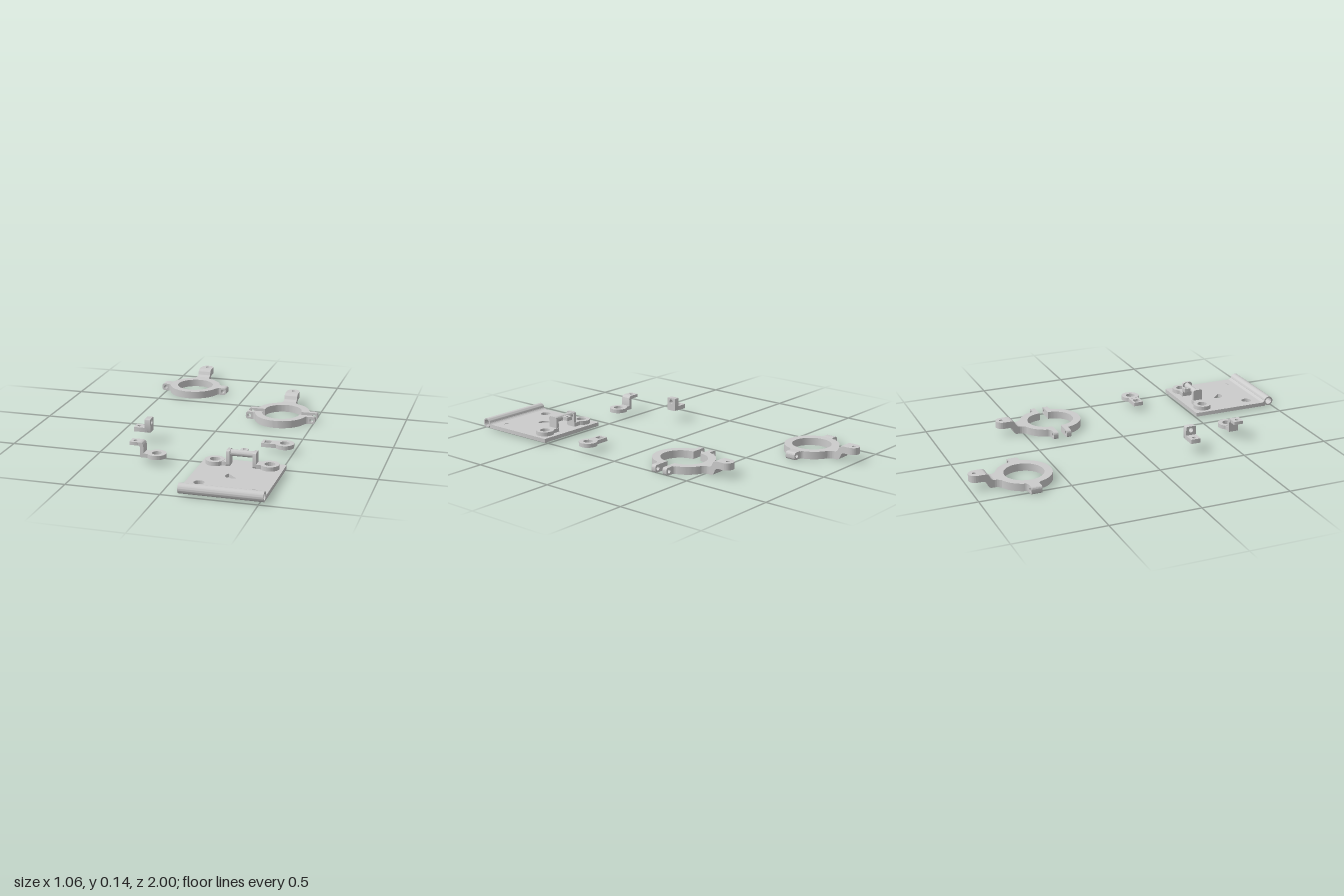
import * as THREE from 'three';
import { toCreasedNormals } from 'three/addons/utils/BufferGeometryUtils.js';

const material = new THREE.MeshStandardMaterial({ color: 0xcccccc });
const PI = Math.PI;

function extrude(shape, depth) {
  return new THREE.ExtrudeGeometry(shape, { depth, bevelEnabled: false, curveSegments: 24 });
}
function mesh(name, geometry) {
  const m = new THREE.Mesh(toCreasedNormals(geometry, 0.5), material);
  m.name = name;
  return m;
}
// plan outline (x, -z) raised from y0 to y1
const slab = (name, shape, y0, y1) =>
  mesh(name, extrude(shape, y1 - y0).rotateX(-PI / 2).translate(0, y0, 0));
// side outline (-z, y) swept from x0 to x1
const sweepX = (name, shape, x0, x1) =>
  mesh(name, extrude(shape, x1 - x0).rotateY(PI / 2).translate(x0, 0, 0));
// front outline (x, y) swept from z0 to z1
const sweepZ = (name, shape, z0, z1) =>
  mesh(name, extrude(shape, z1 - z0).translate(0, 0, z0));

const arc = (x, y, r, a0 = 0, a1 = 2 * PI) => new THREE.Path().absarc(x, y, r, a0, a1, false);
function rect(x0, y0, x1, y1, r = 0.001) {
  const s = new THREE.Shape();
  s.absarc(x1 - r, y0 + r, r, -PI / 2, 0, false);
  s.absarc(x1 - r, y1 - r, r, 0, PI / 2, false);
  s.absarc(x0 + r, y1 - r, r, PI / 2, PI, false);
  s.absarc(x0 + r, y0 + r, r, PI, PI * 1.5, false);
  s.closePath();
  return s;
}
function withHoles(shape, ...holes) {
  shape.holes.push(...holes);
  return shape;
}
function disc(x, y, r, hole) {
  return withHoles(new THREE.Shape().absarc(x, y, r, 0, 2 * PI, false), arc(x, y, hole));
}

const H = 0.042, R = 0.15, BORE = 0.107;

// ring or half ring around the origin
function band(a0, a1) {
  if (a1 - a0 > 6) return slab('ring', disc(0, 0, R, BORE), 0, H);
  const s = new THREE.Shape();
  s.absarc(0, 0, R, a0, a1, false);
  s.absarc(0, 0, BORE, a1, a0, true);
  s.closePath();
  return slab('halfRing', s, 0, H);
}

// pair of drilled ears, with fillets on the chosen sides (+1 back, -1 front)
function ears(group, d0, d1, sides) {
  for (const k of [1, -1]) {
    const ear = rect(0.13, 0, 0.203, H, 0.014);
    const s = withHoles(ear, arc(0.182, 0.021, 0.011));
    const e = sweepZ('ear', s, -d1, -d0);
    if (k < 0) { // turn about the vertical axis for the opposite ear
      e.rotation.y = PI;
      e.position.z = -(d0 + d1);
    }
    group.add(e);
    for (const side of sides) {
      const d = side > 0 ? d1 : -d0;
      const f = new THREE.Shape();
      f.moveTo(k * 0.13, side * (d - 0.004));
      f.lineTo(k * 0.163, side * (d - 0.004));
      f.lineTo(k * 0.163, side * d);
      f.quadraticCurveTo(k * 0.146, side * d, k * 0.137, side * (d + 0.031));
      f.lineTo(k * 0.125, side * (d + 0.031));
      group.add(slab('earFillet', f, 0.0005, H - 0.0005));
    }
  }
}

// stepped arm running backwards from a ring
function arm(group) {
  const w = 0.038;
  const neck = new THREE.Shape();
  neck.moveTo(-0.088, 0.1195);
  neck.quadraticCurveTo(-w, 0.143, -w, 0.172);
  neck.lineTo(w, 0.172);
  neck.quadraticCurveTo(w, 0.143, 0.088, 0.1195);
  neck.absarc(0, 0, 0.14, 0.94, PI - 0.94, false);
  group.add(slab('armNeck', neck, 0, H));

  const step = new THREE.Shape();
  step.moveTo(0.17, 0);
  step.lineTo(0.185, 0);
  step.bezierCurveTo(0.218, 0, 0.2, H, 0.235, H);
  step.lineTo(0.262, H);
  step.lineTo(0.262, 0.08);
  step.lineTo(0.225, 0.08);
  step.bezierCurveTo(0.185, 0.08, 0.205, H, 0.17, H);
  // the tab outline takes over where the drilled end begins
  const tab = new THREE.Shape();
  tab.moveTo(-w, 0.25);
  tab.lineTo(w, 0.25);
  tab.absarc(0, 0.262, w, 0, PI, false);
  step.curves[2].v2.x = 0.25;
  step.curves[3].v1.x = step.curves[3].v2.x = 0.25;
  step.curves[4].v1.x = 0.25;
  group.add(sweepX('armStep', step, -w, w));
  group.add(slab('armTab', withHoles(tab, arc(0, 0.268, 0.011)), H, 0.08));
}

function ringPart(name, x, z, a0, a1, d0, d1, sides, hasArm) {
  const g = new THREE.Group();
  g.name = name;
  g.add(band(a0, a1));
  ears(g, d0, d1, sides);
  if (hasArm) arm(g);
  g.position.set(x, 0, z);
  return g;
}

// hinge plate with partly closed screw holes, rolled edge and catch
function hingePlate() {
  const g = new THREE.Group();
  g.name = 'hingePlate';
  const xs = [0.161, 0.452], cx = 0.307;
  const layer = (holes) => withHoles(rect(0.09, -0.95, 0.524, -0.5),
    ...xs.map((x) => arc(x, -0.57, 0.028)), ...holes);
  const slot = (x, b) => arc(x, -0.862, 0.028, PI + b, 2 * PI - b);
  g.add(slab('plateBottom', layer([
    slot(xs[0], 0.4), arc(xs[1], -0.862, 0.028), arc(cx - 0.01, -0.73, 0.037, PI, 2 * PI)]), 0.008, 0.011));
  g.add(slab('plateTop', layer([
    arc(xs[0], -0.862, 0.028), slot(xs[1], 0.8),
    arc(cx - 0.01, -0.73, 0.037, PI * 0.75, PI * 1.75)]), 0.011, 0.03));
  g.add(sweepX('rolledEdge', disc(-0.972, 0.035, 0.027, 0.019), 0.09, 0.524));
  const fillet = new THREE.Shape();
  fillet.moveTo(-0.951, 0.025);
  fillet.lineTo(-0.926, 0.025);
  fillet.lineTo(-0.926, 0.03);
  fillet.quadraticCurveTo(-0.942, 0.03, -0.949, 0.045);
  g.add(sweepX('rollFillet', fillet, 0.0905, 0.5235));

  // catch: two feet with posts, carrying a crossbar
  xs.forEach((x, i) => {
    const k = i ? 1 : -1;
    g.add(slab('footEye', disc(x, -0.57, 0.05, 0.028), 0.03, 0.053));
    const a = x - k * 0.04, b = cx + k * 0.062;
    g.add(slab('footTab', rect(Math.min(a, b), -0.598, Math.max(a, b), -0.541), 0.03, 0.052));
    const p = cx + k * 0.07;
    g.add(sweepX('post', rect(-0.602, 0.03, -0.545, 0.115, 0.012), p - 0.009, p + 0.009));
  });
  const bar = new THREE.CylinderGeometry(0.017, 0.017, 0.13, 24).rotateZ(PI / 2);
  g.add(mesh('crossbar', bar.translate(cx, 0.096, 0.57)));
  g.add(slab('barTab', withHoles(rect(0.288, -0.565, 0.326, -0.517, 0.006),
    arc(cx, -0.533, 0.009)), 0.086, 0.107));
  return g;
}

// upright angle bracket
function angleBracket() {
  const g = new THREE.Group();
  g.name = 'angleBracket';
  g.add(slab('bracketBase', withHoles(rect(-0.38, -0.296, -0.3, -0.238, 0.004),
    arc(-0.356, -0.267, 0.011)), 0.062, 0.087));
  g.add(sweepX('bracketPost', withHoles(rect(-0.296, 0.062, -0.238, 0.137, 0.006),
    arc(-0.267, 0.115, 0.013)), -0.316, -0.284));
  return g;
}

// stepped bracket with an eye at the low end
function stepBracket() {
  const g = new THREE.Group();
  g.name = 'stepBracket';
  const s = new THREE.Shape();
  s.moveTo(-0.25, 0.112);
  s.lineTo(-0.25, 0.094);
  s.quadraticCurveTo(-0.239, 0.094, -0.239, 0.08);
  s.lineTo(-0.239, 0.031);
  s.lineTo(-0.195, 0.031);
  s.lineTo(-0.195, 0.053);
  s.lineTo(-0.221, 0.053);
  s.lineTo(-0.221, 0.092);
  s.quadraticCurveTo(-0.223, 0.111, -0.242, 0.112);
  g.add(sweepZ('bracketStep', s, 0.541, 0.598));
  g.add(slab('bracketTab', withHoles(rect(-0.298, -0.598, -0.249, -0.541, 0.004),
    arc(-0.272, -0.57, 0.011)), 0.094, 0.112));
  g.add(slab('bracketEye', disc(-0.156, -0.57, 0.051, 0.026), 0.031, 0.0535));
  return g;
}

// flat link with an eye and a square slot
function flatLink() {
  const g = new THREE.Group();
  g.name = 'flatLink';
  g.add(slab('linkTab', withHoles(rect(0.328, -0.267, 0.412, -0.208, 0.004),
    rect(0.342, -0.256, 0.379, -0.219, 0.006)), 0.031, 0.053));
  g.add(slab('linkEye', disc(0.452, -0.237, 0.051, 0.026), 0.031, 0.0535));
  return g;
}

export function createModel() {
  const model = new THREE.Group();
  model.name = 'clampAndHingeParts';
  model.add(
    ringPart('fullRing', -0.328, -0.7, 0, 2 * PI, -0.029, 0.029, [1, -1], true),
    ringPart('splitRingBack', 0.307, -0.347, 0, PI, 0, 0.027, [1], true),
    ringPart('splitRingFront', 0.307, -0.298, PI, 2 * PI, -0.027, 0, [-1], false),
    hingePlate(), angleBracket(), stepBracket(), flatLink());
  return model;
}
